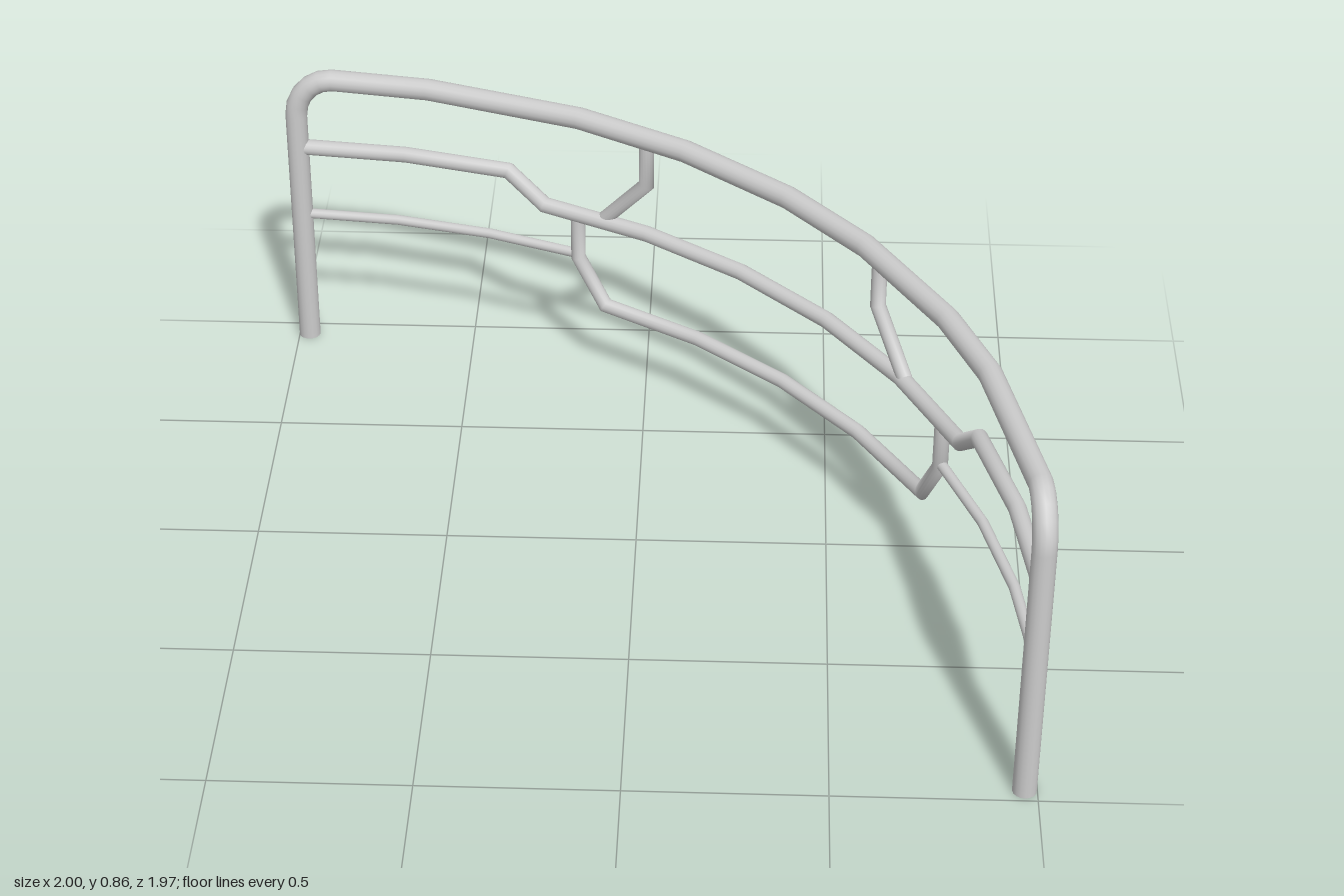
import * as THREE from 'three';

const SIDES = 16;

// Point on the quarter-circle plan: angle in degrees (0 = left end, 90 = right end) and height
function onArc(angle, y) {
  const flare = angle > 45 ? 0.025 : 0.015;
  const r = 1.93 + flare * Math.pow(Math.abs(angle - 45) / 45, 4);
  const t = THREE.MathUtils.degToRad(angle);
  return new THREE.Vector3(-0.985 + r * Math.sin(t), y, 0.975 - 0.99 * r * Math.cos(t));
}

// Turn [angle, height] corners into 3D points, splitting long runs so they follow the curve
function arcPath(corners, maxStep) {
  const points = [onArc(...corners[0])];
  for (let i = 1; i < corners.length; i++) {
    const [a0, y0] = corners[i - 1], [a1, y1] = corners[i];
    const n = Math.max(1, Math.ceil(Math.abs(a1 - a0) / maxStep));
    for (let k = 1; k <= n; k++) points.push(onArc(a0 + (a1 - a0) * k / n, y0 + (y1 - y0) * k / n));
  }
  return points;
}

const mirrored = (corners) => corners.map(([a, y]) => [90 - a, y]);
const symmetric = (half, middle = []) => [...half, ...middle, ...mirrored(half).reverse()];

// Round pipe with mitred joints and closed ends
function pipe(name, corners, radius, material, maxStep) {
  const pts = arcPath(corners, maxStep);
  const dirs = pts.slice(1).map((p, i) => p.clone().sub(pts[i]).normalize());
  const ref = Math.abs(dirs[0].y) > 0.9 ? new THREE.Vector3(1, 0, 0) : new THREE.Vector3(0, 1, 0);
  const u = ref.cross(dirs[0]).normalize();
  const w = dirs[0].clone().cross(u);
  let ring = [];
  for (let j = 0; j < SIDES; j++) {
    const t = j / SIDES * Math.PI * 2;
    ring.push(pts[0].clone().addScaledVector(u, Math.cos(t) * radius).addScaledVector(w, Math.sin(t) * radius));
  }
  const pos = [], index = [];
  const addRing = (r) => r.forEach((v) => pos.push(v.x, v.y, v.z));
  const first = ring;
  addRing(ring);
  for (let i = 1; i < pts.length; i++) {
    // slide the ring along the run until it meets the mitre plane
    const d = dirs[i - 1];
    const plane = d.clone().add(dirs[i] || d).normalize();
    ring = ring.map((v) => v.clone().addScaledVector(d, pts[i].clone().sub(v).dot(plane) / d.dot(plane)));
    addRing(ring);
    for (let j = 0; j < SIDES; j++) {
      const k = (j + 1) % SIDES, a = (i - 1) * SIDES, b = i * SIDES;
      index.push(a + j, a + k, b + j, a + k, b + k, b + j);
    }
  }
  // end caps
  const cap = (r, centre, flip) => {
    const base = pos.length / 3;
    addRing(r);
    addRing([centre]);
    for (let j = 0; j < SIDES; j++) {
      const k = (j + 1) % SIDES;
      index.push(base + SIDES, base + (flip ? k : j), base + (flip ? j : k));
    }
  };
  cap(first, pts[0], true);
  cap(ring, pts[pts.length - 1], false);

  const geometry = new THREE.BufferGeometry();
  geometry.setAttribute('position', new THREE.Float32BufferAttribute(pos, 3));
  geometry.setIndex(index);
  geometry.computeVertexNormals();
  const mesh = new THREE.Mesh(geometry, material);
  mesh.name = name;
  return mesh;
}

export function createModel() {
  const group = new THREE.Group();
  group.name = 'curvedGuardRail';
  const material = new THREE.MeshStandardMaterial({ color: 0xcccccc });
  const add = (name, corners, radius, maxStep = 10.8) => group.add(pipe(name, corners, radius, material, maxStep));

  // Main frame: post, rounded corner and top rail in one bent pipe
  const post = [[0.4, 0]];
  for (let i = 0; i <= 5; i++) {
    const t = i / 5 * Math.PI / 2;
    post.push([0.4 + 3.1 * (1 - Math.cos(t)), 0.72 + 0.115 * Math.sin(t)]);
  }
  const topRail = [11.5, 24.6, 34.5, 45, 54, 65.4, 73].map((angle) => [angle, 0.835]);
  add('mainFrame', symmetric(post, topRail), 0.03, 14);

  // Middle rail with a dropped centre
  add('middleRail', symmetric([[0.5, 0.62], [18.2, 0.62], [21.4, 0.535]]), 0.022);

  // Hanging loop below the middle rail
  add('lowerLoop', symmetric([[24.4, 0.53], [24.4, 0.395], [26.9, 0.26]]), 0.02);

  // Thin low rails, mirrored across the middle of the curve
  const lowRail = [[0.5, 0.405], [24.4, 0.405]];
  add('lowRailRight', lowRail, 0.014);
  add('lowRailLeft', mirrored(lowRail), 0.014);

  // Cranked struts between the top and middle rails
  add('strutRight', [[30.8, 0.83], [30.8, 0.69], [26.8, 0.54]], 0.02);
  add('strutLeft', [[55.8, 0.83], [55.8, 0.69], [59.8, 0.54]], 0.02);

  return group;
}
